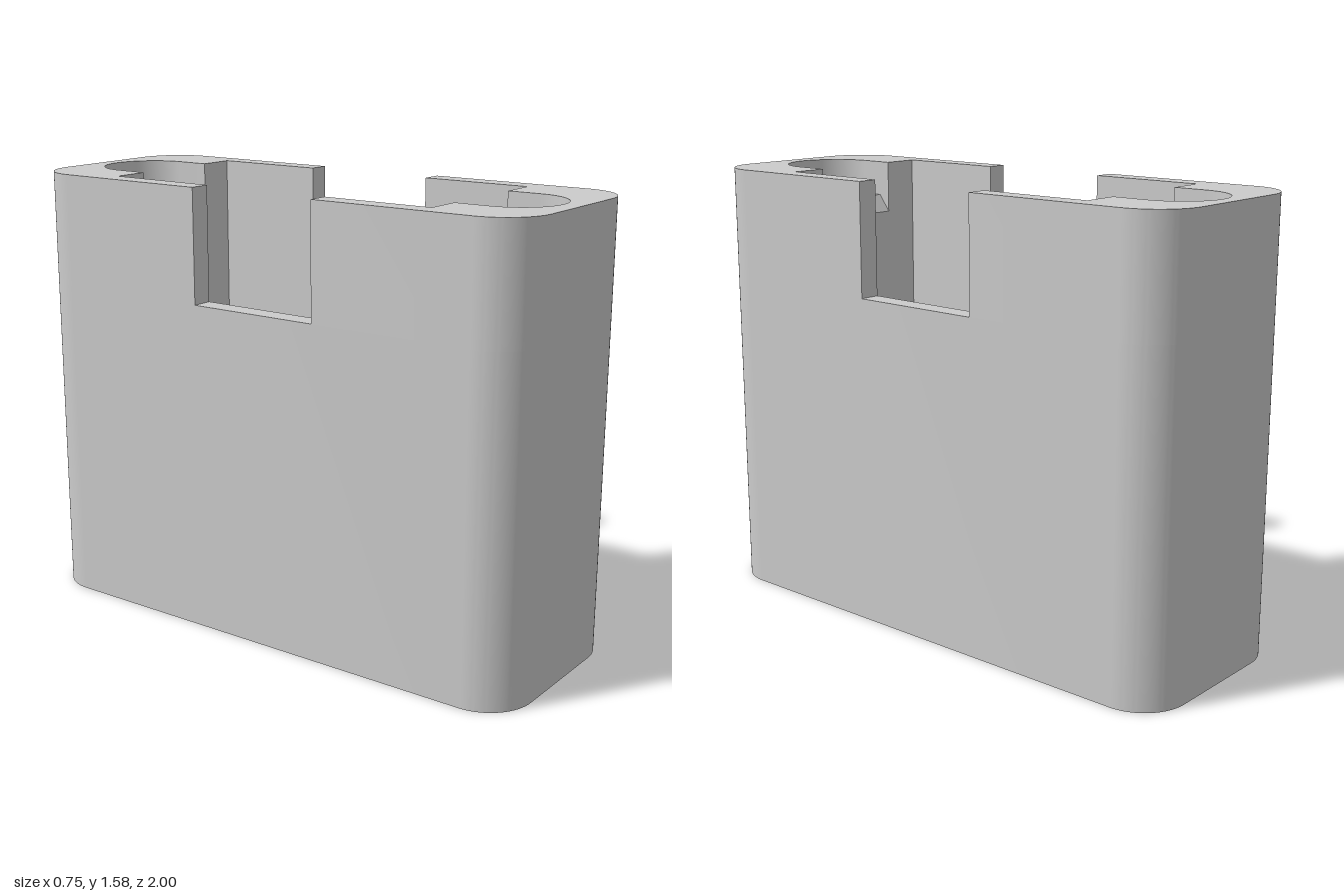
import * as THREE from 'three';
import { toCreasedNormals } from 'three/addons/utils/BufferGeometryUtils.js';

const W = 0.375, L = 1, R = 0.17;              // outer half width, half length, corner radius
const IW = 0.3, FRONT = 0.645, BACK = 0.655;   // cavity half width and its two ends
const H = 1.58, SILL = 1.18, NOTCH = 0.245;    // total height, notch sill, notch half length
const POCKET = 0.168, BORE = 0.073, BORE_IN = 0.122;
const FLOOR = 1.455, LIP = 1.395, RAMP = 0.045; // pocket floor and its sloping lip

const material = new THREE.MeshStandardMaterial({ color: 0xcccccc });

function addMesh(parent, name, geometry) {
  const mesh = new THREE.Mesh(toCreasedNormals(geometry, 0.6), material);
  mesh.name = name;
  parent.add(mesh);
}

// Extrudes a plan drawn in x and z between two heights
function slab(shape, bottom, top) {
  const geometry = new THREE.ExtrudeGeometry(shape, { depth: top - bottom, bevelEnabled: false, curveSegments: 16 });
  return geometry.rotateX(Math.PI / 2).translate(0, top, 0);
}

function rectPath(x0, z0, x1, z1) {
  return new THREE.Path([[x0, z0], [x0, z1], [x1, z1], [x1, z0], [x0, z0]].map(p => new THREE.Vector2(...p)));
}

function borePath(z) {
  return new THREE.Path().absarc(0, z, BORE, 0, Math.PI * 2, true);
}

// One raised end with its screw pocket, built facing +z
function raisedEnd(name, inner) {
  const group = new THREE.Group();
  group.name = name;
  const c = inner + BORE_IN;

  const wall = new THREE.Shape();
  wall.moveTo(W, NOTCH);
  wall.lineTo(W, L - R);
  wall.absarc(W - R, L - R, R, 0, Math.PI / 2, false);
  wall.lineTo(-W + R, L);
  wall.absarc(-W + R, L - R, R, Math.PI / 2, Math.PI, false);
  wall.lineTo(-W, NOTCH);
  wall.lineTo(-IW, NOTCH);
  wall.lineTo(-IW, inner);
  wall.lineTo(-POCKET, inner);
  wall.lineTo(-POCKET, c);
  wall.absarc(0, c, POCKET, Math.PI, 0, true);
  wall.lineTo(POCKET, inner);
  wall.lineTo(IW, inner);
  wall.lineTo(IW, NOTCH);
  addMesh(group, 'endWall', slab(wall, SILL, H));

  // Rounded pocket floor with the screw hole
  const floor = new THREE.Shape();
  floor.moveTo(-POCKET, inner + RAMP);
  floor.lineTo(POCKET, inner + RAMP);
  floor.lineTo(POCKET, c);
  floor.absarc(0, c, POCKET, 0, Math.PI, false);
  floor.lineTo(-POCKET, inner + RAMP);
  floor.holes.push(borePath(c));
  addMesh(group, 'pocketFloor', slab(floor, SILL, FLOOR));

  // Sloping lip towards the cavity, profile in z and y
  const lip = new THREE.Shape([
    [-inner, SILL], [-inner, LIP], [-inner - RAMP, FLOOR], [-inner - RAMP, SILL],
  ].map(p => new THREE.Vector2(...p)));
  const lipGeometry = new THREE.ExtrudeGeometry(lip, { depth: POCKET * 2, bevelEnabled: false });
  addMesh(group, 'pocketLip', lipGeometry.translate(0, 0, -POCKET).rotateY(Math.PI / 2));
  return group;
}

export function createModel() {
  const model = new THREE.Group();
  model.name = 'housing';

  // Lower body: rounded sleeve with open cavity and two screw bores
  const body = new THREE.Shape();
  body.moveTo(W, -L + R);
  body.absarc(W - R, L - R, R, 0, Math.PI / 2, false);
  body.absarc(-W + R, L - R, R, Math.PI / 2, Math.PI, false);
  body.absarc(-W + R, -L + R, R, Math.PI, Math.PI * 1.5, false);
  body.absarc(W - R, -L + R, R, Math.PI * 1.5, Math.PI * 2, false);
  body.holes.push(rectPath(-IW, -BACK, IW, FRONT), borePath(FRONT + BORE_IN), borePath(-BACK - BORE_IN));
  addMesh(model, 'lowerBody', slab(body, 0, SILL));

  // Cross wall dividing the cavity
  const dividerTop = 0.79;
  addMesh(model, 'divider', new THREE.BoxGeometry(IW * 2, dividerTop, 0.085).translate(0, dividerTop / 2, 0.183));

  // Raised ends on either side of the notch
  const back = raisedEnd('backEnd', BACK);
  back.rotation.y = Math.PI;
  model.add(raisedEnd('frontEnd', FRONT), back);
  return model;
}
